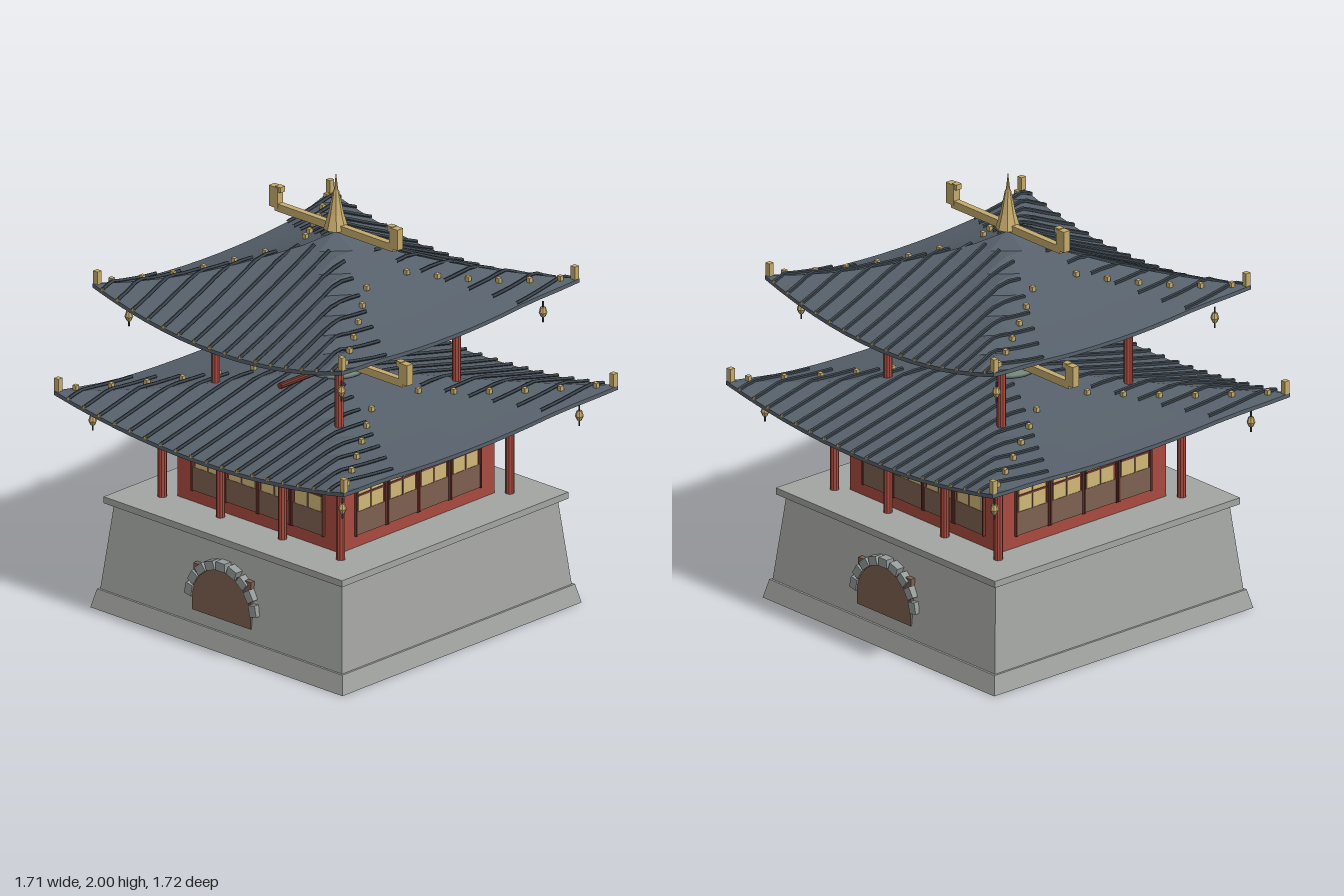
import * as THREE from 'three';

const mat = (name, color, flatShading = true) => {
  const m = new THREE.MeshStandardMaterial({ color, flatShading });
  m.name = name;
  return m;
};

export function createModel() {
  const root = new THREE.Group();
  root.name = 'bellPavilion';
  const M = {
    stone: mat('stone', 0xa3a5a2),
    archStone: mat('archStone', 0x959c9b),
    red: mat('redLacquer', 0xa84a3e),
    darkRed: mat('darkRedTrim', 0x743830),
    wood: mat('brownWood', 0x7d6050),
    gold: mat('gold', 0xc4aa6c),
    pane: mat('paperPane', 0xd2b878),
    tile: mat('roofTile', 0x56606a),
    rib: mat('roofRib', 0x39424a),
    bronze: mat('greenBronze', 0x76897c, false),
  };

  const add = (parent, name, geo, material, x = 0, y = 0, z = 0) => {
    const mesh = new THREE.Mesh(geo, material);
    mesh.name = name;
    mesh.position.set(x, y, z);
    parent.add(mesh);
    return mesh;
  };
  const box = (parent, name, material, w, h, d, x, y, z) =>
    add(parent, name, new THREE.BoxGeometry(w, h, d), material, x, y, z);
  const post = (parent, name, material, r, y0, y1, x, z) =>
    add(parent, name, new THREE.CylinderGeometry(r, r, y1 - y0, 10), material, x, (y0 + y1) / 2, z);
  // square block whose half width changes from bottom to top
  const taper = (name, b, t, y0, y1) => {
    const g = new THREE.CylinderGeometry(t * Math.SQRT2, b * Math.SQRT2, y1 - y0, 4);
    g.rotateY(Math.PI / 4);
    add(root, name, g, M.stone, 0, (y0 + y1) / 2, 0);
  };
  const corners = (fn) => { for (const x of [-1, 1]) for (const z of [-1, 1]) fn(x, z); };

  // Stone base
  taper('plinth', 0.745, 0.725, 0, 0.085);
  taper('baseWall', 0.715, 0.672, 0.085, 0.485);
  box(root, 'baseCap', M.stone, 1.41, 0.03, 1.41, 0, 0.495, 0);

  // Arched gates, front and back
  for (const side of [0, 1]) {
    const gate = new THREE.Group();
    gate.name = side ? 'backGate' : 'frontGate';
    gate.rotation.y = side * Math.PI;
    root.add(gate);
    box(gate, 'gateRecess', M.wood, 0.34, 0.215, 0.06, 0, 0.2475, 0.68);
    const s = new THREE.Shape();
    s.moveTo(-0.173, 0.14);
    s.lineTo(0.173, 0.14);
    s.lineTo(0.173, 0.19);
    s.absarc(0, 0.19, 0.173, 0, Math.PI, false);
    const door = new THREE.ExtrudeGeometry(s, { depth: 0.03, bevelEnabled: false, curveSegments: 16 });
    add(gate, 'gateDoor', door, M.wood, 0, 0, 0.684);
    for (let i = 0; i < 9; i++) {
      const a = THREE.MathUtils.degToRad(12 + i * 19.5);
      const stone = box(gate, 'archStone', M.archStone, 0.04, 0.052, 0.05,
        Math.cos(a) * 0.193, 0.19 + Math.sin(a) * 0.193, 0.697);
      stone.rotation.z = a;
    }
  }

  // Hall with four windows on each side
  box(root, 'hallWall', M.red, 0.96, 0.4, 0.96, 0, 0.71, 0);
  for (let k = 0; k < 4; k++) {
    const wall = new THREE.Group();
    wall.name = 'windowRow';
    wall.rotation.y = k * Math.PI / 2;
    root.add(wall);
    for (const x of [-0.295, -0.097, 0.097, 0.295]) {
      box(wall, 'windowPane', M.pane, 0.155, 0.165, 0.008, x, 0.755, 0.483);
      box(wall, 'lowerPanel', M.wood, 0.178, 0.108, 0.012, x, 0.62, 0.483);
      for (const y of [0.748, 0.79])
        box(wall, 'windowRail', M.darkRed, 0.165, 0.009, 0.012, x, y, 0.485);
      box(wall, 'mullion', M.wood, 0.007, 0.165, 0.01, x, 0.755, 0.485);
      for (const sx of [-1, 1])
        box(wall, 'windowFrame', M.darkRed, 0.008, 0.3, 0.018, x + sx * 0.092, 0.713, 0.484);
    }
  }
  corners((sx, sz) => {
    post(root, 'hallCornerPost', M.red, 0.02, 0.51, 0.91, sx * 0.527, sz * 0.527);
    post(root, 'hallMiddlePost', M.red, 0.02, 0.51, 0.91, sx * 0.183, sz * 0.527);
    post(root, 'belfryPost', M.red, 0.02, 1.0, 1.39, sx * 0.365, sz * 0.365);
  });

  // Swept roof with ribs, hip studs, corner ornaments, wind bells and ridge
  const makeRoof = (name, o) => {
    const roof = new THREE.Group();
    roof.name = name;
    root.add(roof);
    const halfX = (v) => o.hx + 0.046 * Math.max(0, (v - 0.64) / 0.36);
    const heightUV = (u, v) => {
      const t = Math.max(u, v);
      if (t === 0) return o.apex;
      const r = Math.min(u, v) / t;
      const sag = v >= u ? o.frontSag : o.sideSag;
      return o.apex - o.drop * t ** 0.8 + o.lift * t ** 3 - (1 - r * r) * sag * t * t;
    };
    const height = (x, z) => {
      const v = Math.min(1, Math.abs(z) / o.hz);
      return heightUV(Math.min(1, Math.abs(x) / halfX(v)), v);
    };

    const slab = new THREE.BoxGeometry(2, 0.018, 2, 14, 1, 14);
    const p = slab.attributes.position;
    for (let i = 0; i < p.count; i++) {
      const u = p.getX(i), v = p.getZ(i);
      p.setXYZ(i, u * halfX(Math.abs(v)),
        heightUV(Math.abs(u), Math.abs(v)) + p.getY(i) - 0.009, v * o.hz);
    }
    slab.computeVertexNormals();
    add(roof, 'roofSlab', slab, M.tile);

    for (const sz of [-1, 1]) for (const sx of [-1, 1]) for (let k = 0; k < o.ribs; k++) {
      const x = sx * (0.045 + 0.0905 * k);
      const z0 = Math.max(0.09, Math.abs(x) * 0.6);
      const pts = [];
      for (let i = 0; i <= 6; i++) {
        const z = sz * THREE.MathUtils.lerp(z0, o.hz, i / 6);
        pts.push(new THREE.Vector3(x, height(x, z) + 0.006, z));
      }
      const tube = new THREE.TubeGeometry(new THREE.CatmullRomCurve3(pts), 10, 0.009, 5);
      add(roof, 'roofRib', tube, M.rib);
      box(roof, 'ribEnd', M.gold, 0.013, 0.013, 0.01, x, height(x, sz * o.hz) + 0.006, sz * (o.hz - 0.002));
    }

    const s = o.scale;
    corners((sx, sz) => {
      for (let i = 0; i < 6; i++) {
        const x = sx * s * (0.3 + 0.078 * i), z = sz * s * (0.125 + 0.109 * i);
        box(roof, 'hipStud', M.gold, 0.02, 0.022, 0.02, x, height(x, z) + 0.013, z);
      }
      const cx = sx * (o.hx + 0.033), cz = sz * (o.hz - 0.015);
      box(roof, 'cornerOrnament', M.gold, 0.025, 0.06, 0.025, cx, height(cx, cz) + 0.03, cz);
      // wind bell
      const bx = sx * o.bell, bz = sz * o.bell;
      post(roof, 'windBellStem', M.rib, 0.004, o.bellY - 0.045, o.bellY + 0.05, bx, bz);
      add(roof, 'windBell', new THREE.CylinderGeometry(0.012, 0.019, 0.024, 8), M.gold, bx, o.bellY + 0.012, bz);
      add(roof, 'windBellLip', new THREE.CylinderGeometry(0.019, 0.01, 0.02, 8), M.gold, bx, o.bellY - 0.01, bz);
    });

    // ridge bar and upturned ends
    const y = o.apex + 0.022;
    box(roof, 'ridgeBar', M.gold, 0.7 * s, 0.035, 0.03, 0, y, 0);
    for (const sx of [-1, 1]) {
      box(roof, 'ridgeEnd', M.gold, 0.05, 0.095, 0.036, sx * 0.355 * s, y + 0.045, 0);
      box(roof, 'ridgeEndTip', M.gold, 0.03, 0.025, 0.03, sx * 0.33 * s, y + 0.084, 0);
    }
  };
  makeRoof('lowerRoof', {
    apex: 1.115, hx: 0.811, hz: 0.855, drop: 0.155, lift: 0.04, frontSag: 0.085, sideSag: 0.05,
    ribs: 9, scale: 1.16, bell: 0.738, bellY: 0.862,
  });
  makeRoof('upperRoof', {
    apex: 1.725, hx: 0.69, hz: 0.74, drop: 0.29, lift: 0.06, frontSag: 0.11, sideSag: 0.06,
    ribs: 8, scale: 1, bell: 0.628, bellY: 1.342,
  });

  // Finial
  const lathe = (pts, n) => new THREE.LatheGeometry(pts.map(([r, y]) => new THREE.Vector2(r, y)), n);
  add(root, 'finial', lathe([[0, 1.74], [0.054, 1.74], [0.034, 1.81], [0.014, 1.91], [0.009, 1.92], [0, 2.0]], 8), M.gold);

  // Great bell, hanger, beam and striking log
  const bell = lathe([[0.1, 1.095], [0.122, 1.09], [0.12, 1.103], [0.106, 1.12], [0.097, 1.16], [0.088, 1.215],
    [0.078, 1.25], [0.06, 1.275], [0.035, 1.29], [0, 1.293]], 24);
  M.bronze.side = THREE.DoubleSide;
  add(root, 'greatBell', bell, M.bronze);
  post(root, 'bellHanger', M.gold, 0.02, 1.285, 1.345, 0, 0);
  box(root, 'bellBeam', M.wood, 0.78, 0.037, 0.042, 0, 1.357, 0);
  const log = add(root, 'strikingLog', new THREE.CylinderGeometry(0.014, 0.014, 0.24, 10), M.darkRed, 0, 1.112, 0.23);
  log.rotation.x = Math.PI / 2;

  return root;
}
